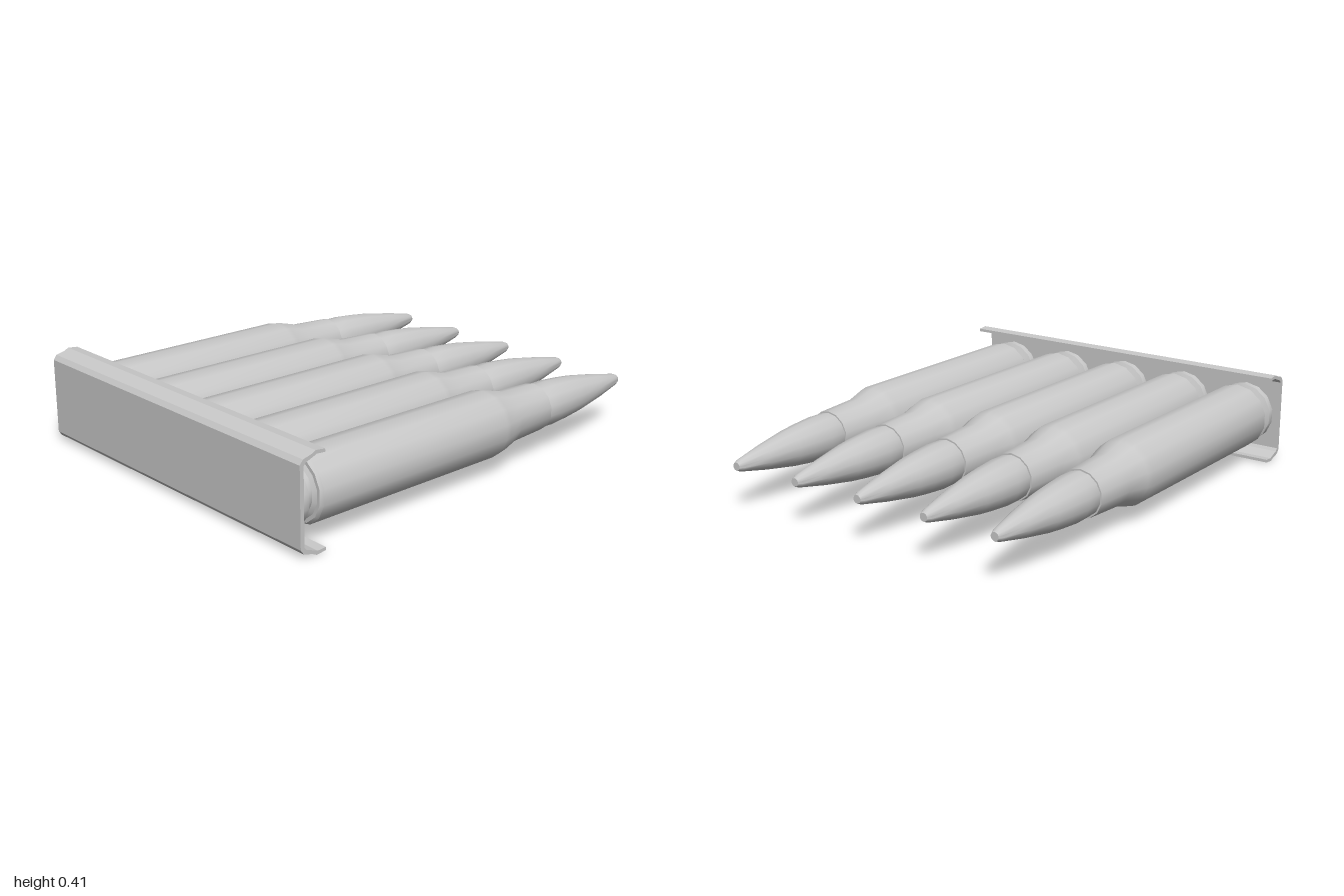
import * as THREE from 'three';
import { toCreasedNormals } from 'three/addons/utils/BufferGeometryUtils.js';

const AXIS_Y = 0.205;

// Turned part lying along z; profile is [radius, z] from the base (+z) to the tip (-z).
function turned(profile, sides = 14) {
  const points = profile.map(([r, z]) => new THREE.Vector2(r, -z));
  const geometry = new THREE.LatheGeometry(points, sides);
  geometry.rotateX(-Math.PI / 2);
  return toCreasedNormals(geometry, 0.5);
}

export function createModel() {
  const model = new THREE.Group();
  model.name = 'loadedClip';
  const metal = new THREE.MeshStandardMaterial({ color: 0xc8c8c8 });
  metal.name = 'grey metal';

  const add = (parent, name, geometry) => {
    const mesh = new THREE.Mesh(geometry, metal);
    mesh.name = name;
    parent.add(mesh);
    return mesh;
  };

  const parts = {
    // rim and extractor groove
    rim: turned([[0, 0.98], [0.115, 0.98], [0.138, 0.965], [0.138, 0.935],
      [0.106, 0.92], [0.106, 0.895], [0.13, 0.88]]),
    // straight body, sloping shoulder and neck
    casing: turned([[0, 0.885], [0.137, 0.885], [0.147, 0.872], [0.145, -0.12],
      [0.139, -0.15], [0.113, -0.245], [0.103, -0.44], [0.094, -0.44]]),
    // tapering nose with a small flat tip
    bullet: turned([[0.096, -0.43], [0.098, -0.52], [0.09, -0.62], [0.081, -0.7],
      [0.055, -0.85], [0.027, -0.98], [0.018, -1], [0, -1]]),
  };

  for (let i = 0; i < 5; i++) {
    const cartridge = new THREE.Group();
    cartridge.name = `cartridge${i + 1}`;
    cartridge.position.set((i - 2) * 0.332, AXIS_Y, 0);
    for (const [name, geometry] of Object.entries(parts)) add(cartridge, name, geometry);
    model.add(cartridge);
  }

  // Clip: bent sheet channel, upper half as [z, height above axis], mirrored below.
  const half = [[1, 0.165], [0.985, 0.185], [0.945, 0.195], [0.925, 0.205], [0.88, 0.2],
    [0.88, 0.187], [0.92, 0.19], [0.94, 0.182], [0.972, 0.17], [0.982, 0.158]];
  const lower = half.map(([z, h]) => [z, -h]).reverse();
  const section = new THREE.Shape(
    [...half, ...lower].map(([z, h]) => new THREE.Vector2(-z, h + AXIS_Y)));
  const channel = new THREE.ExtrudeGeometry(section, { depth: 1.65, bevelEnabled: false });
  channel.translate(0, 0, -0.825);
  channel.rotateY(Math.PI / 2);
  add(model, 'clipChannel', toCreasedNormals(channel, 0.4));

  return model;
}
